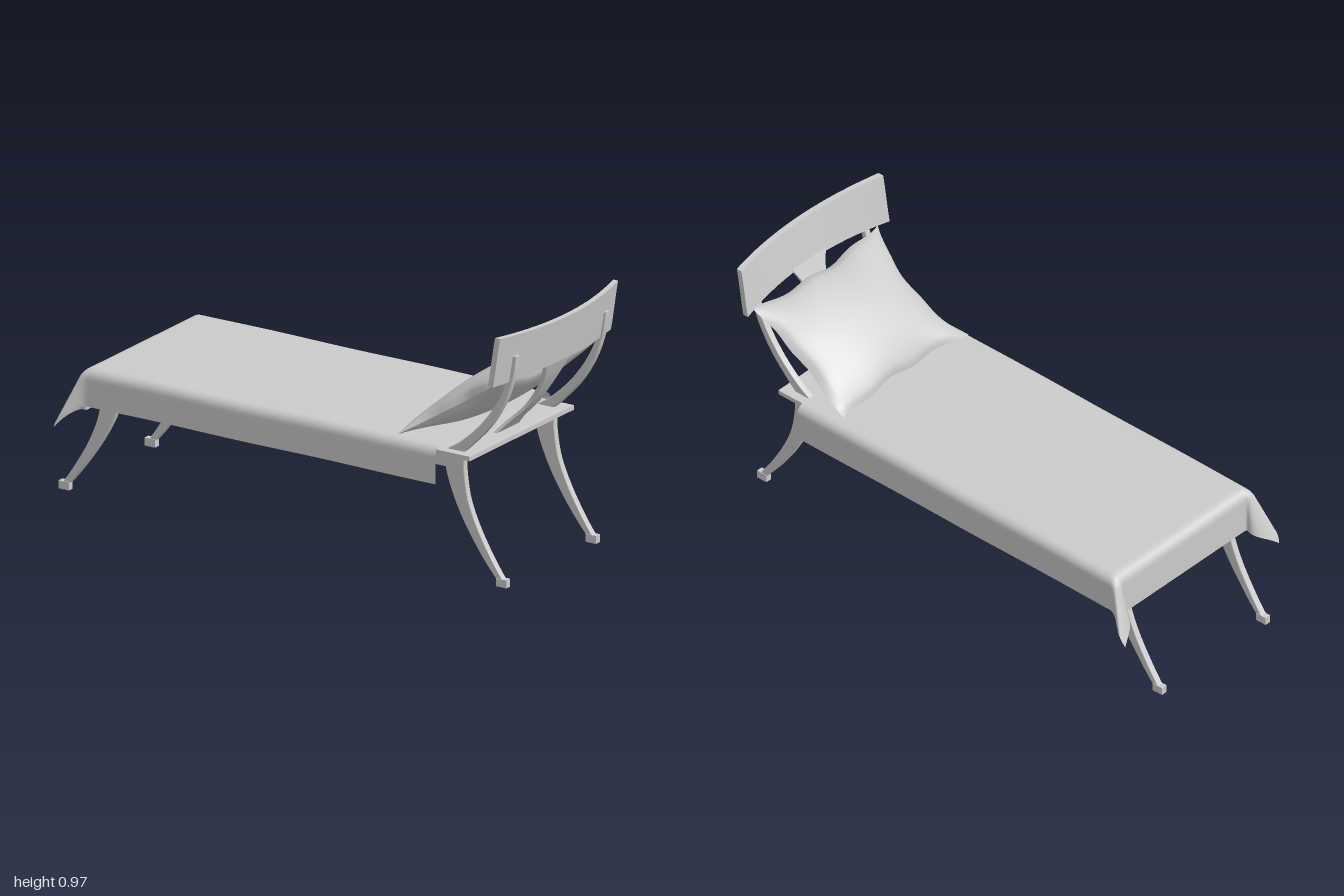
import * as THREE from 'three';

const grey = new THREE.MeshStandardMaterial({ color: 0xcccccc });
const cloth = new THREE.MeshStandardMaterial({ color: 0xcccccc, side: THREE.DoubleSide });

function add(parent, name, geometry, material = grey) {
  const mesh = new THREE.Mesh(geometry, material);
  mesh.name = name;
  parent.add(mesh);
  return mesh;
}

// Box given by its limits
function box(parent, name, [x0, x1], [y0, y1], [z0, z1]) {
  add(parent, name, new THREE.BoxGeometry(x1 - x0, y1 - y0, z1 - z0))
    .position.set((x0 + x1) / 2, (y0 + y1) / 2, (z0 + z1) / 2);
}

// Move every vertex by a rule, then refresh the normals
function deform(geometry, rule) {
  const p = geometry.attributes.position;
  for (let i = 0; i < p.count; i++) p.setXYZ(i, ...rule(p.getX(i), p.getY(i), p.getZ(i)));
  geometry.computeVertexNormals();
  return geometry;
}

// Curved timber cut from a plank: rows of [y, xLeft, xRight]
function timber(rows, width) {
  const side = k => new THREE.SplineCurve(rows.map(r => new THREE.Vector2(r[k], r[0]))).getPoints(24);
  const shape = new THREE.Shape([...side(2), ...side(1).reverse()]);
  const b = 0.004;
  const g = new THREE.ExtrudeGeometry(shape, {
    depth: width - 2 * b, bevelEnabled: true, bevelThickness: b, bevelSize: b, bevelOffset: -b, bevelSegments: 2,
  });
  return g.translate(0, 0, b - width / 2);
}

const headLegRows = [[0.465, 0.662, 0.745], [0.4, 0.665, 0.745], [0.3, 0.7, 0.762], [0.2, 0.752, 0.803],
  [0.1, 0.82, 0.86], [0.03, 0.877, 0.908]];
const footLegRows = [[0.465, -0.82, -0.735], [0.38, -0.82, -0.738], [0.3, -0.832, -0.765], [0.2, -0.873, -0.822],
  [0.1, -0.932, -0.893], [0.03, -0.98, -0.95]];
const postRows = [[0.478, 0.665, 0.74], [0.52, 0.73, 0.785], [0.6, 0.815, 0.858], [0.7, 0.887, 0.919],
  [0.8, 0.932, 0.955], [0.885, 0.95, 0.969]];

function addLegsAndPosts(group) {
  const toe = [0, 0.03];
  for (const z of [0.297, -0.277]) {
    add(group, 'headLeg', timber(headLegRows, 0.025)).position.z = z;
    box(group, 'headLegToe', [0.88, 0.925], toe, [z - 0.0125, z + 0.0125]);
    add(group, 'backPost', timber(postRows, 0.025)).position.z = z;
  }
  for (const z of [0.295, -0.256]) {
    add(group, 'footLeg', timber(footLegRows, 0.025)).position.z = z;
    box(group, 'footLegToe', [-1, -0.955], toe, [z - 0.0125, z + 0.0125]);
  }
}

// Platform, side rails and cross slats
function addFrame(group) {
  box(group, 'platform', [-0.84, 0.79], [0.464, 0.481], [-0.325, 0.343]);
  for (const z of [0.297, -0.277]) box(group, 'sideRail', [-0.78, 0.7], [0.41, 0.464], [z - 0.01, z + 0.01]);
  for (let i = 0; i < 9; i++) {
    const x = -0.78 + i * 0.18;
    box(group, 'slat', [x - 0.01, x + 0.01], [0.448, 0.464], [-0.277, 0.297]);
  }
}

function addBackrest(group) {
  // Broad curved top board, leaning back
  const board = new THREE.BoxGeometry(0.022, 0.174, 0.755, 1, 4, 28);
  add(group, 'backBoard', deform(board, (x, y, z) => {
    const sag = (z / 0.3775) ** 2;
    return [x + 0.973 + 0.18 * y - 0.05 * sag, y + 0.875 + 0.008 * sag * Math.sign(y), z + 0.008];
  }));
  // Waisted splat following the sweep of the posts
  const sweep = new THREE.SplineCurve([[0.72, 0.478], [0.757, 0.52], [0.837, 0.6], [0.903, 0.7], [0.95, 0.8]]
    .map(p => new THREE.Vector2(...p)));
  const splat = new THREE.BoxGeometry(0.016, 1, 2, 1, 24, 4);
  add(group, 'backSplat', deform(splat, (x, y, z) => {
    const c = sweep.getPoint(y + 0.5);
    const t = (c.y - 0.625) / 0.16;
    return [c.x + x, c.y, 0.008 + z * (0.036 + 0.044 * t * t)];
  }));
}

// Sheet draped over three edges, flaring where two hanging sides meet
function addBlanket(group) {
  const R = 0.036, edgeX = -0.828, edgeZ = 0.333;
  const sheet = new THREE.PlaneGeometry(1, 1, 150, 100);
  add(group, 'blanket', deform(sheet, (px, py) => {
    const s = -1.02 + (px + 0.5) * 1.68;
    const t = -py * 2 * 0.495;
    const a = Math.max(0, edgeX - s), b = Math.max(0, Math.abs(t) - edgeZ);
    const h = Math.hypot(a, b), angle = Math.atan2(b, a);
    const bend = Math.min(h / R, Math.PI / 2);
    const out = R * Math.sin(bend);
    const down = R * (1 - Math.cos(bend)) + Math.max(0, h - R * Math.PI / 2);
    const fold = Math.sin(2 * angle);
    const x = Math.max(s, edgeX) - out * Math.cos(angle) - 0.42 * down * fold;
    const z = Math.min(Math.abs(t), edgeZ) + out * Math.sin(angle)
      + 0.3 * down * fold * Math.sin(3 * angle - 1.2);
    return [x, 0.501 - down + 0.001 * Math.sin(9 * s), Math.sign(t) * z];
  }), cloth);
}

// Plump cushion with pinched edges, leaning on the back
function addPillow(group) {
  const pillow = new THREE.Group();
  pillow.name = 'pillow';
  for (const face of [1, -1]) {
    const g = deform(new THREE.PlaneGeometry(2, 2, 36, 36), (u, v) => {
      const eu = 1 - u * u, ev = 1 - v * v;
      const pinchZ = v < 0 ? 0.2 : 0.04;
      const x = 0.255 * u * (1 - 0.09 * ev) + 0.006 * Math.sin(9 * v) * u * u;
      const y = 0.33 * v * (1 - pinchZ * eu * v * v) + 0.004 * Math.sin(8 * u) * v * v;
      const puff = 0.072 * Math.pow(Math.max(eu, 0) * Math.max(ev, 0), 0.55);
      return [x, y, face * puff + 0.008 * Math.sin(6 * v) * u * u];
    });
    g.rotateX(-Math.PI / 2).rotateZ(0.57);
    add(pillow, face > 0 ? 'pillowFront' : 'pillowBack', g, cloth);
  }
  pillow.position.set(0.7, 0.643, 0.012);
  group.add(pillow);
}

export function createModel() {
  const group = new THREE.Group();
  group.name = 'daybed';
  addLegsAndPosts(group);
  addFrame(group);
  addBackrest(group);
  addBlanket(group);
  addPillow(group);
  return group;
}
